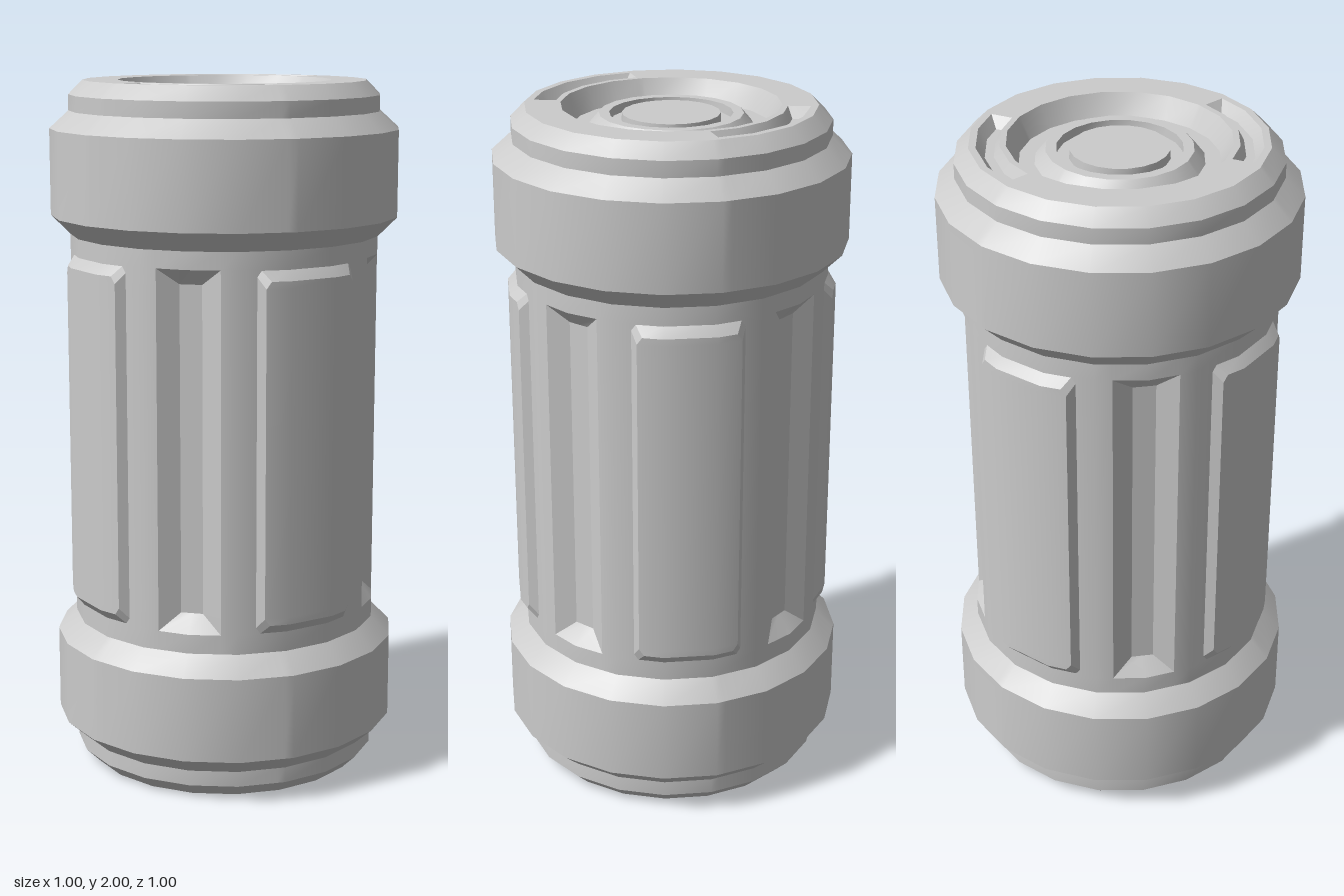
import * as THREE from 'three';
import { toCreasedNormals } from 'three/addons/utils/BufferGeometryUtils.js';

const DEG = Math.PI / 180;
const STEP = 18; // angle of one of the 20 sides

// Point on a 20-sided ring with corner radius r, angle a in degrees from the front
function ringPoint(r, a, y) {
  const offset = (((a % STEP) + STEP) % STEP) - STEP / 2;
  const d = (r * Math.cos((STEP / 2) * DEG)) / Math.cos(offset * DEG);
  return new THREE.Vector3(d * Math.sin(a * DEG), y, d * Math.cos(a * DEG));
}

// Skin rows of points, optionally closing each row into a loop
function skin(rows, closed) {
  const out = [];
  const e1 = new THREE.Vector3(), e2 = new THREE.Vector3();
  const tri = (a, b, c) => {
    e1.subVectors(b, a);
    e2.subVectors(c, a);
    if (e1.cross(e2).length() < 1e-8) return;
    for (const p of [a, b, c]) out.push(p.x, p.y, p.z);
  };
  for (let i = 0; i < rows.length - 1; i++) {
    const lo = rows[i], hi = rows[i + 1], n = lo.length;
    for (let j = 0; j < (closed ? n : n - 1); j++) {
      const k = (j + 1) % n;
      tri(lo[j], lo[k], hi[k]);
      tri(lo[j], hi[k], hi[j]);
    }
  }
  const geo = new THREE.BufferGeometry();
  geo.setAttribute('position', new THREE.Float32BufferAttribute(out, 3));
  return toCreasedNormals(geo, 0.33);
}

// Barrel with four tapered vertical recesses
function barrelGeometry() {
  const R = 0.445, FLOOR = 0.402, EDGE = 11.8, INNER = 4.5;
  const rows = [[0.435, 0], [0.49, 0], [0.54, 1], [1.47, 1], [1.515, 0], [1.565, 0]];
  return skin(rows.map(([y, sunk]) => {
    const row = [];
    for (let q = 0; q < 360; q += 90) {
      for (const a of [-EDGE, -INNER, 0, INNER, EDGE, 18, 36, 54, 72]) {
        const inside = Math.abs(a) <= INNER;
        if (inside && sunk) {
          const d = FLOOR / Math.cos(a * DEG), t = (q + a) * DEG;
          row.push(new THREE.Vector3(d * Math.sin(t), y, d * Math.cos(t)));
        } else {
          row.push(ringPoint(R, q + (inside ? Math.sign(a) * EDGE : a), y));
        }
      }
    }
    return row;
  }), true);
}

// End cap: stepped profile with two curved recesses in its rim face
function capGeometry() {
  const EDGE = 33, INNER = 29, DEPTH = 0.03;
  // radius, height, recessed row
  const profile = [
    [0.445, 1.565], [0.5, 1.62], [0.5, 1.865], [0.445, 1.915], [0.445, 1.96], [0.405, 2],
    [0.385, 2], [0.362, 2, 1], [0.338, 2, 1], [0.322, 2],
    [0.305, 2], [0.273, 1.94], [0.23, 1.94], [0.2, 1.975], [0.171, 1.975],
    [0.17, 1.95], [0.137, 1.95], [0.136, 1.975], [0, 1.975],
  ];
  return skin(profile.map(([r, y, sunk]) => {
    const row = [];
    for (const h of [0, 180]) {
      for (const a of [-EDGE, -INNER, -18, 0, 18, INNER, EDGE, 36, 54, 72, 90, 108, 126, 144]) {
        const inside = Math.abs(a) <= INNER;
        const angle = !sunk && Math.abs(a) === INNER ? Math.sign(a) * EDGE : a;
        row.push(ringPoint(r, h + angle, inside && sunk ? y - DEPTH : y));
      }
    }
    return row;
  }), true);
}

// Raised panel with bevelled sides and clipped corners, centred at 45 degrees
function panelGeometry() {
  const BASE = 0.443, FACE = 0.468;
  // base half-angle, base height, face half-angle, face height, face radius
  const lower = [
    [19, 0.49, 19, 0.49, BASE],
    [20.6, 0.507, 16, 0.52, FACE],
    [20.6, 0.507, 17.8, 0.54, FACE],
  ];
  const upper = lower.map(([b, by, f, fy, r]) => [b, 2.005 - by, f, 2.005 - fy, r]).reverse();
  return skin([...lower, ...upper].map(([b, by, f, fy, r]) => [
    ringPoint(BASE, 45 - b, by), ringPoint(r, 45 - f, fy),
    ringPoint(r, 36, fy), ringPoint(r, 54, fy),
    ringPoint(r, 45 + f, fy), ringPoint(BASE, 45 + b, by),
  ]), false);
}

export function createModel() {
  const group = new THREE.Group();
  group.name = 'canister';
  const material = new THREE.MeshStandardMaterial({ color: 0xcccccc });
  const add = (name, geo) => {
    const mesh = new THREE.Mesh(geo, material);
    mesh.name = name;
    group.add(mesh);
    return mesh;
  };

  add('barrel', barrelGeometry());

  // Matching caps at both ends
  const cap = capGeometry();
  add('topCap', cap);
  const bottom = add('bottomCap', cap);
  bottom.rotation.x = Math.PI;
  bottom.position.y = 2;

  // Four panels between the recesses
  const panel = panelGeometry();
  for (let i = 0; i < 4; i++) add('sidePanel' + (i + 1), panel).rotation.y = (i * Math.PI) / 2;

  return group;
}
